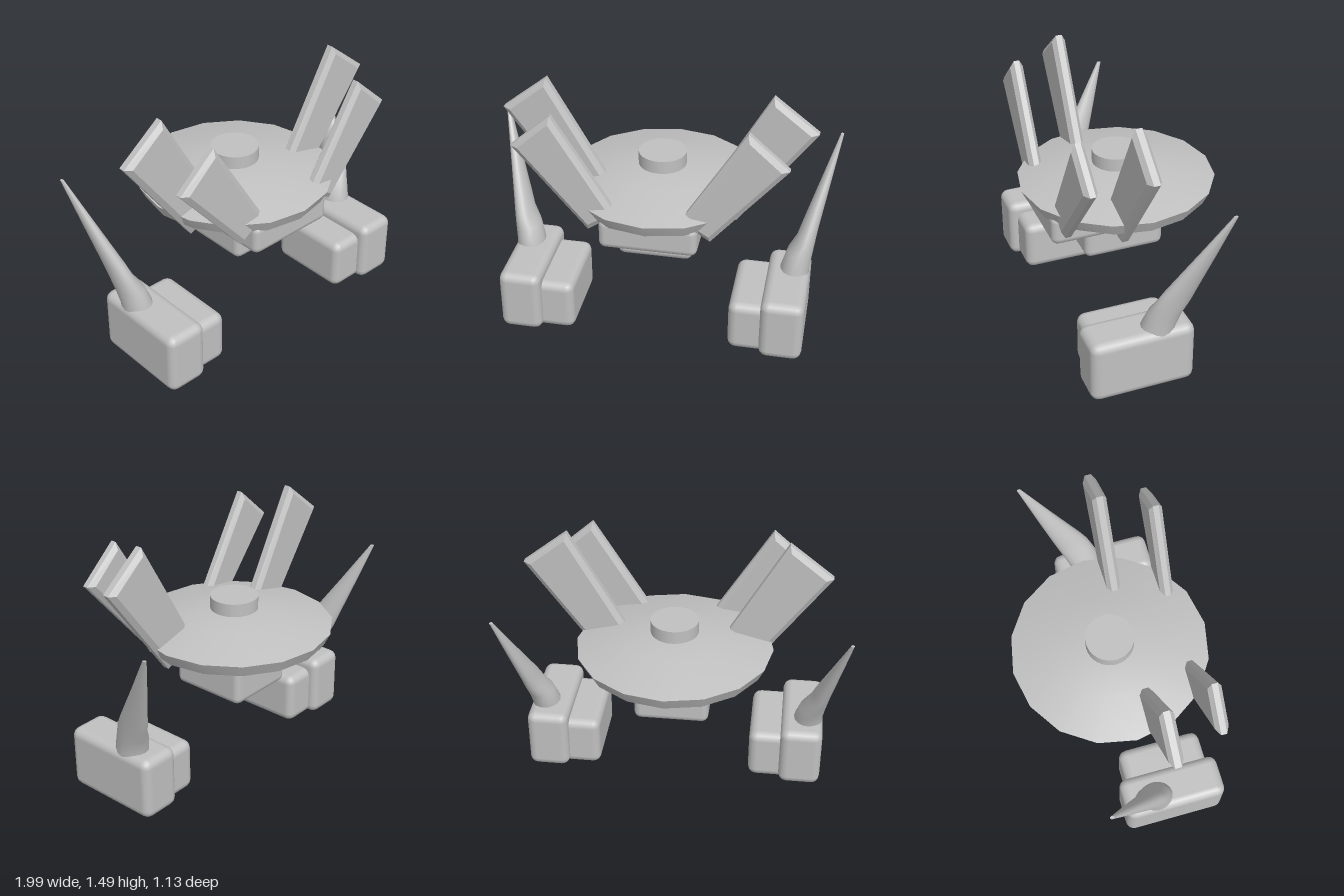
import * as THREE from 'three';
import { toCreasedNormals } from 'three/addons/utils/BufferGeometryUtils.js';
import { RoundedBoxGeometry } from 'three/addons/geometries/RoundedBoxGeometry.js';

const grey = new THREE.MeshStandardMaterial({ color: 0xc0c0c0 });
grey.name = 'plain grey';

function part(name, geometry) {
  const mesh = new THREE.Mesh(geometry, grey);
  mesh.name = name;
  return mesh;
}

// Rounded block given by its minimum and maximum corners
function block(name, min, max, radius) {
  const size = max.map((v, i) => v - min[i]);
  const mesh = part(name, new RoundedBoxGeometry(...size, 2, radius));
  mesh.position.set(...max.map((v, i) => (v + min[i]) / 2));
  return mesh;
}

// Flat tapered plate with chamfered edges, outlined in x and y
function plate(name, corners, z, thickness) {
  const shape = new THREE.Shape(corners.map(([x, y]) => new THREE.Vector2(x, y)));
  const bevel = 0.022;
  const geometry = new THREE.ExtrudeGeometry(shape, {
    depth: thickness - 2 * bevel, bevelThickness: bevel,
    bevelSize: 0.03, bevelOffset: -0.03, bevelSegments: 1,
  });
  geometry.translate(0, 0, z - thickness / 2 + bevel);
  return part(name, geometry);
}

// Leaning horn from horizontal elliptical rings: [y, centre x, centre z, radius x, radius z]
function horn(side) {
  const rings = [
    [0.30, 0.79, 0.07, 0.085, 0.10],
    [0.375, 0.79, 0.06, 0.083, 0.10],
    [0.47, 0.812, 0.03, 0.074, 0.10],
    [0.54, 0.84, 0.0, 0.056, 0.10],
    [0.61, 0.857, -0.031, 0.05, 0.092],
    [0.85, 0.922, -0.148, 0.03, 0.052],
    [1.095, 0.988, -0.264, 0.009, 0.012],
  ];
  const n = 16, positions = [], index = [];
  for (const [y, cx, cz, rx, rz] of rings) {
    for (let i = 0; i < n; i++) {
      const a = (i / n) * Math.PI * 2;
      positions.push(side * cx + rx * Math.sin(a), y, cz + rz * Math.cos(a));
    }
  }
  for (let r = 0; r < rings.length - 1; r++) {
    for (let i = 0; i < n; i++) {
      const a = r * n + i, b = r * n + (i + 1) % n;
      index.push(a, b, b + n, a, b + n, a + n);
    }
  }
  // tip cap
  const last = (rings.length - 1) * n;
  for (let i = 1; i < n - 1; i++) index.push(last, last + i, last + i + 1);
  const geometry = new THREE.BufferGeometry();
  geometry.setAttribute('position', new THREE.Float32BufferAttribute(positions, 3));
  geometry.setIndex(index);
  return part('horn', toCreasedNormals(geometry, 0.9));
}

// One foot pair, horn and two wing plates; side is +1 for left, -1 for right
function buildSide(side) {
  const group = new THREE.Group();
  group.name = side > 0 ? 'leftSide' : 'rightSide';
  const mirrored = (name, x0, x1, y1, z0, z1) => block(name,
    [Math.min(side * x0, side * x1), 0, z0], [Math.max(side * x0, side * x1), y1, z1], 0.05);
  group.add(mirrored('outerFoot', 0.635, 0.88, 0.372, -0.13, 0.47));
  group.add(mirrored('innerFoot', 0.45, 0.69, 0.31, -0.08, 0.42));
  group.add(horn(side));

  const flip = (points) => points.map(([x, y]) => [side * x, y]);
  group.add(plate('rearWing',
    flip([[0.447, 0.70], [0.874, 1.29], [0.623, 1.485], [0.235, 0.80]]), 0.118, 0.08));
  group.add(plate('frontWing',
    flip([[0.34, 0.73], [0.75, 1.215], [0.527, 1.41], [0.175, 0.84]]), 0.408, 0.076));
  return group;
}

export function createModel() {
  const model = new THREE.Group();
  model.name = 'model';

  // Saucer body with a slanted rim
  const profile = [[0, 0.745], [0.2, 0.747], [0.53, 0.793], [0.565, 0.865],
    [0.3, 0.933], [0.15, 0.953], [0, 0.96]].map(([r, y]) => new THREE.Vector2(r, y));
  model.add(part('saucer', toCreasedNormals(new THREE.LatheGeometry(profile, 16), 0.7)));

  // Round hatch on top
  const hatch = part('hatch', new THREE.CylinderGeometry(0.137, 0.137, 0.1, 32));
  hatch.position.y = 0.98;
  model.add(hatch);

  // Blocks hanging below the saucer
  model.add(block('upperBlock', [-0.275, 0.64, 0.03], [0.275, 0.82, 0.475], 0.04));
  model.add(block('lowerBlock', [-0.215, 0.465, -0.21], [0.215, 0.765, 0.262], 0.04));

  model.add(buildSide(1), buildSide(-1));
  return model;
}
